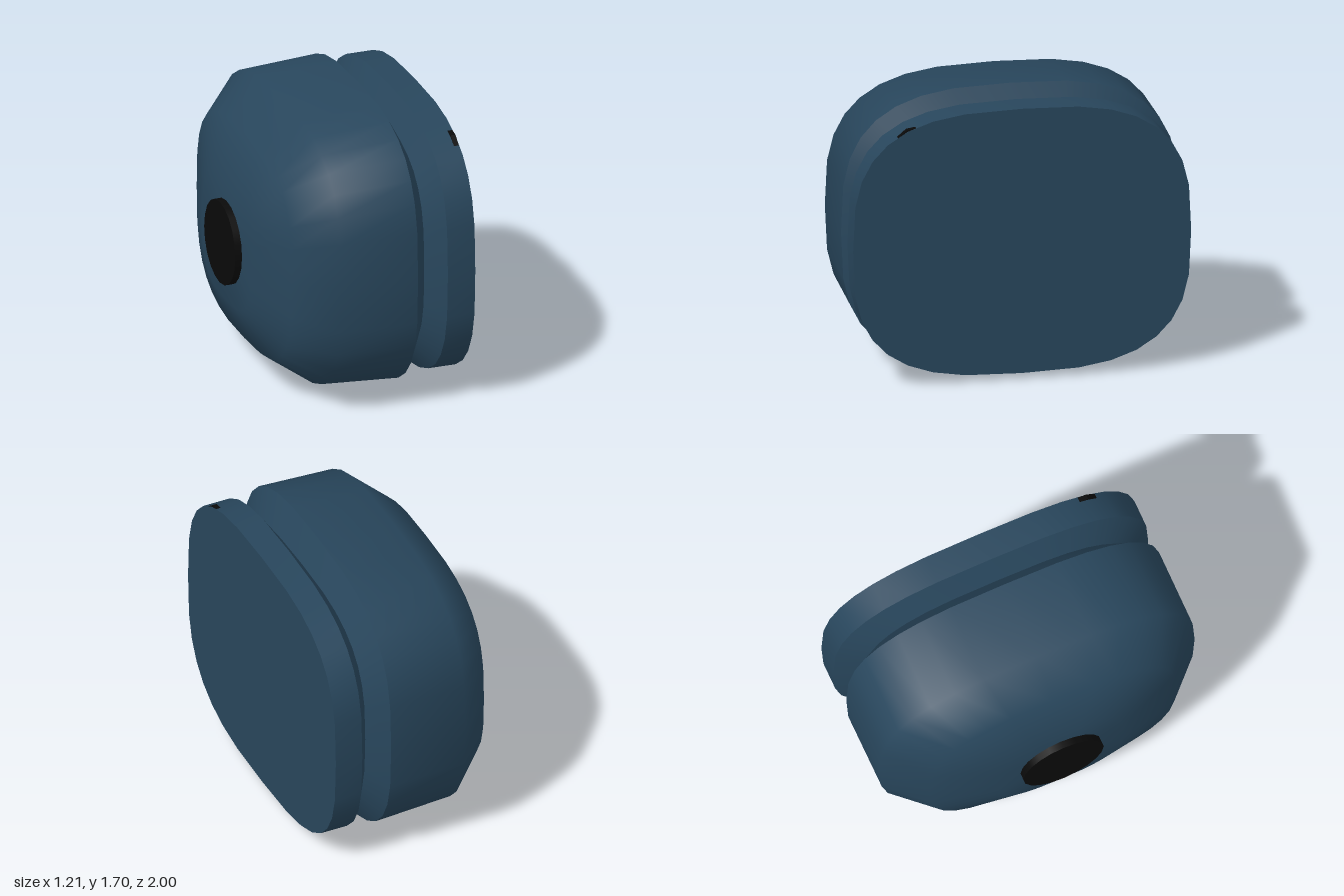
import * as THREE from 'three';

const SIDES = 32;

// Loft of rounded-square sections along x; each section is [x, centreY, halfHeight, halfWidth]
function loft(sections, capStart = false, capEnd = false) {
  const pos = [], idx = [];
  for (const [x, cy, hy, hz] of sections) {
    for (let j = 0; j < SIDES; j++) {
      const t = (j / SIDES) * Math.PI * 2;
      const soft = (v) => Math.sign(v) * Math.pow(Math.abs(v), 2 / 3);
      pos.push(x, cy + hy * soft(Math.cos(t)), hz * soft(Math.sin(t)));
    }
  }
  for (let i = 0; i < sections.length - 1; i++) {
    for (let j = 0; j < SIDES; j++) {
      const a = i * SIDES + j, b = i * SIDES + (j + 1) % SIDES;
      idx.push(a, b, a + SIDES, b, b + SIDES, a + SIDES);
    }
  }
  const cap = (ring, flip) => {
    const [x, cy] = sections[ring];
    const o = pos.length / 3;
    pos.push(x, cy, 0);
    for (let j = 0; j < SIDES; j++) {
      const a = ring * SIDES + j, b = ring * SIDES + (j + 1) % SIDES;
      if (flip) idx.push(o, b, a);
      else idx.push(o, a, b);
    }
  };
  if (capStart) cap(0, true);
  if (capEnd) cap(sections.length - 1, false);
  const g = new THREE.BufferGeometry();
  g.setAttribute('position', new THREE.Float32BufferAttribute(pos, 3));
  g.setIndex(idx);
  g.computeVertexNormals();
  return g;
}

export function createModel() {
  const group = new THREE.Group();
  const blue = new THREE.MeshStandardMaterial({ color: 0x28465c });
  blue.name = 'dark blue';
  const black = new THREE.MeshStandardMaterial({ color: 0x0a0a0a });
  black.name = 'black';
  const add = (name, geometry, material) => {
    const mesh = new THREE.Mesh(geometry, material);
    mesh.name = name;
    group.add(mesh);
    return mesh;
  };

  const rim = [0.25, 0.855, 0.85, 1];
  const groove = [0.345, 0.845, 0.69, 0.85];
  const collar = [0.435, 0.855, 0.815, 1];
  const face = [0.605, 0.855, 0.815, 1];

  // Domed shell, smooth up to the rim
  add('shell', loft([
    [-0.56, 0.816, 0.373, 0.4],
    [-0.45, 0.838, 0.648, 0.78],
    [-0.225, 0.855, 0.815, 1],
    rim,
  ], true), blue);

  // Sharp V groove, collar band and flat end face
  add('grooveInner', loft([rim, groove]), blue);
  add('grooveOuter', loft([groove, collar]), blue);
  add('collar', loft([collar, face]), blue);
  const end = loft([face, face], false, true);
  end.setIndex(Array.from(end.index.array).slice(-SIDES * 3));
  end.computeVertexNormals();
  add('endFace', end, blue);

  // Slightly crowned round button on the closed side
  const button = new THREE.LatheGeometry([
    new THREE.Vector2(0.255, 0),
    new THREE.Vector2(0.255, 0.042),
    new THREE.Vector2(0.255, 0.042),
    new THREE.Vector2(0, 0.047),
  ], 20);
  const buttonMesh = add('button', button, black);
  buttonMesh.rotation.z = Math.PI / 2;
  buttonMesh.position.set(-0.56, 0.817, 0);

  // Small plug set into the upper corner of the end face
  const outline = [[0.27, 1.48], [0.27, 1.6], [0.58, 1.6], [0.68, 1.585],
    [0.745, 1.53], [0.735, 1.46], [0.7, 1.38]];
  const shape = new THREE.Shape(outline.map(([z, y]) => new THREE.Vector2(-z, y)));
  const plug = new THREE.ExtrudeGeometry(shape, { depth: 0.03, bevelEnabled: false });
  plug.rotateY(Math.PI / 2);
  plug.translate(0.573, 0, 0);
  add('cornerPlug', plug, black);

  return group;
}
